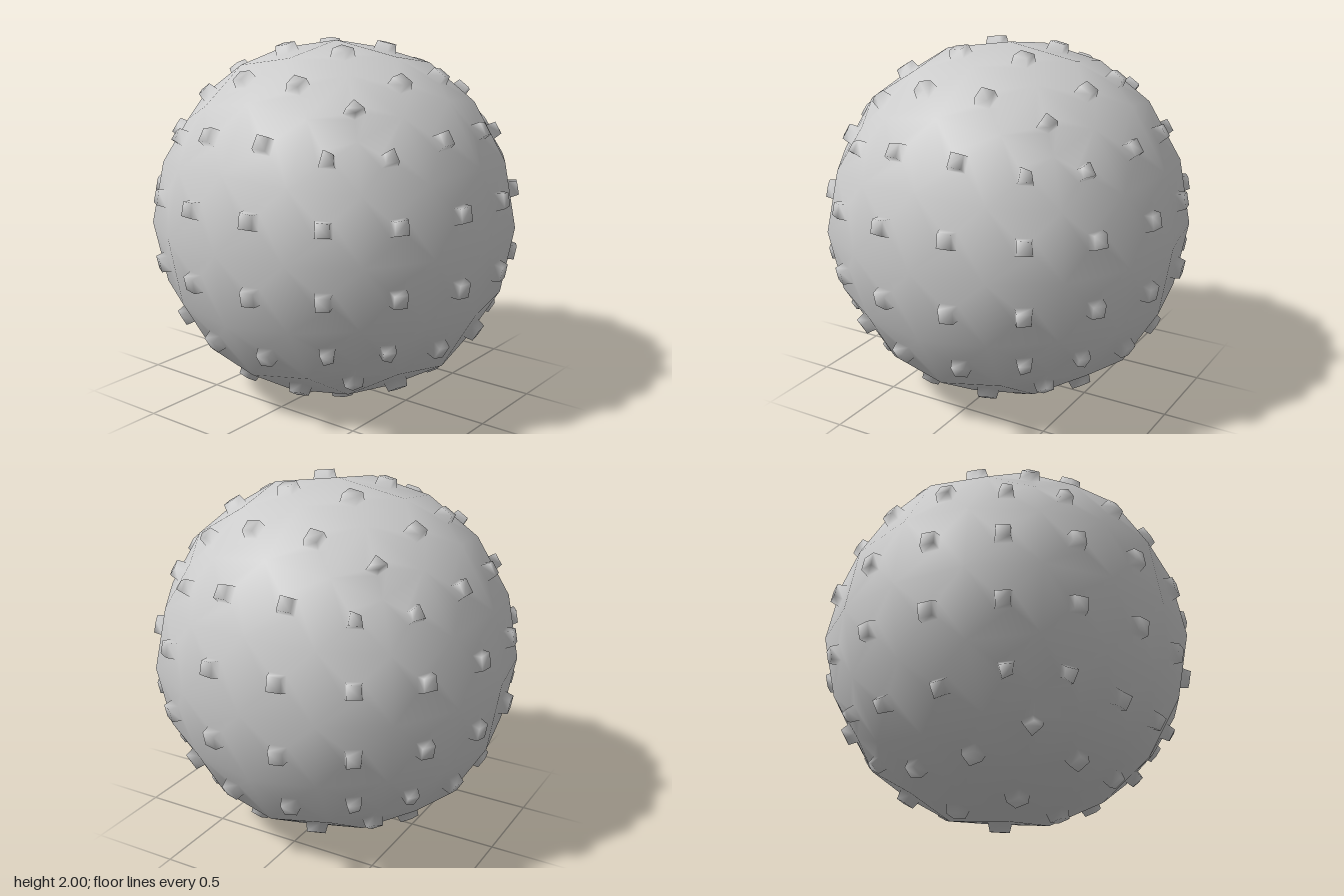
import * as THREE from 'three';
import { mergeVertices } from 'three/addons/utils/BufferGeometryUtils.js';

// Rounded-cube side: sideways offset and height by grid step from the side's centre
const OFFSET = [[0, 0, 0], [0.399, 0.371, 0.344], [0.732, 0.682, 0.58]];
const HEIGHT = [[1, 0.933, 0.732], [0.933, 0.87, 0.682], [0.732, 0.682, 0.58]];
const STUD_BASE = 0.24, STUD_TOP = 0.2, STUD_HEIGHT = 0.05;

// The six sides as rotations of the +z side
const SIDES = [
  (u, v, w) => [u, v, w], (u, v, w) => [-u, v, -w],
  (u, v, w) => [w, u, v], (u, v, w) => [-w, -u, v],
  (u, v, w) => [v, w, u], (u, v, w) => [v, -w, -u],
];

function gridPoint(side, i, j) {
  const a = Math.abs(i), b = Math.abs(j);
  return new THREE.Vector3(...side(
    Math.sign(i) * OFFSET[a][b], Math.sign(j) * OFFSET[b][a], HEIGHT[a][b]));
}

function addQuad(out, a, b, c, d) {
  for (const p of [a, b, c, a, c, d]) out.push(p.x, p.y + 1, p.z);
}

// Band of quads joining two four-cornered loops
function addBand(out, outer, inner) {
  for (let k = 0; k < 4; k++) {
    const n = (k + 1) % 4;
    addQuad(out, outer[k], outer[n], inner[n], inner[k]);
  }
}

export function createModel() {
  const body = [], studs = [];
  for (const side of SIDES) {
    for (let i = -2; i < 2; i++) {
      for (let j = -2; j < 2; j++) {
        const cell = [[i, j], [i + 1, j], [i + 1, j + 1], [i, j + 1]]
          .map(([a, b]) => gridPoint(side, a, b));
        const centre = new THREE.Vector3();
        cell.forEach((p) => centre.addScaledVector(p, 0.25));
        const normal = cell[2].clone().sub(cell[0])
          .cross(cell[3].clone().sub(cell[1])).normalize();
        const base = cell.map((p) => centre.clone().lerp(p, STUD_BASE));
        const top = cell.map((p) => centre.clone().lerp(p, STUD_TOP)
          .addScaledVector(normal, STUD_HEIGHT));
        addBand(body, cell, base);
        addBand(studs, base, top);
        addQuad(studs, ...top);
      }
    }
  }

  // Weld everything so the shading flows smoothly from the ball into the studs
  let shell = new THREE.BufferGeometry();
  shell.setAttribute('position', new THREE.Float32BufferAttribute([...body, ...studs], 3));
  shell = mergeVertices(shell, 1e-4);
  shell.computeVertexNormals();

  const material = new THREE.MeshStandardMaterial({ color: 0xcccccc });
  const index = Array.from(shell.index.array);
  const split = body.length / 3;
  const group = new THREE.Group();
  group.name = 'studdedBall';
  for (const [name, part] of [['ball', index.slice(0, split)], ['studs', index.slice(split)]]) {
    const geometry = new THREE.BufferGeometry();
    geometry.setAttribute('position', shell.attributes.position);
    geometry.setAttribute('normal', shell.attributes.normal);
    geometry.setIndex(part);
    const mesh = new THREE.Mesh(geometry, material);
    mesh.name = name;
    group.add(mesh);
  }
  return group;
}
